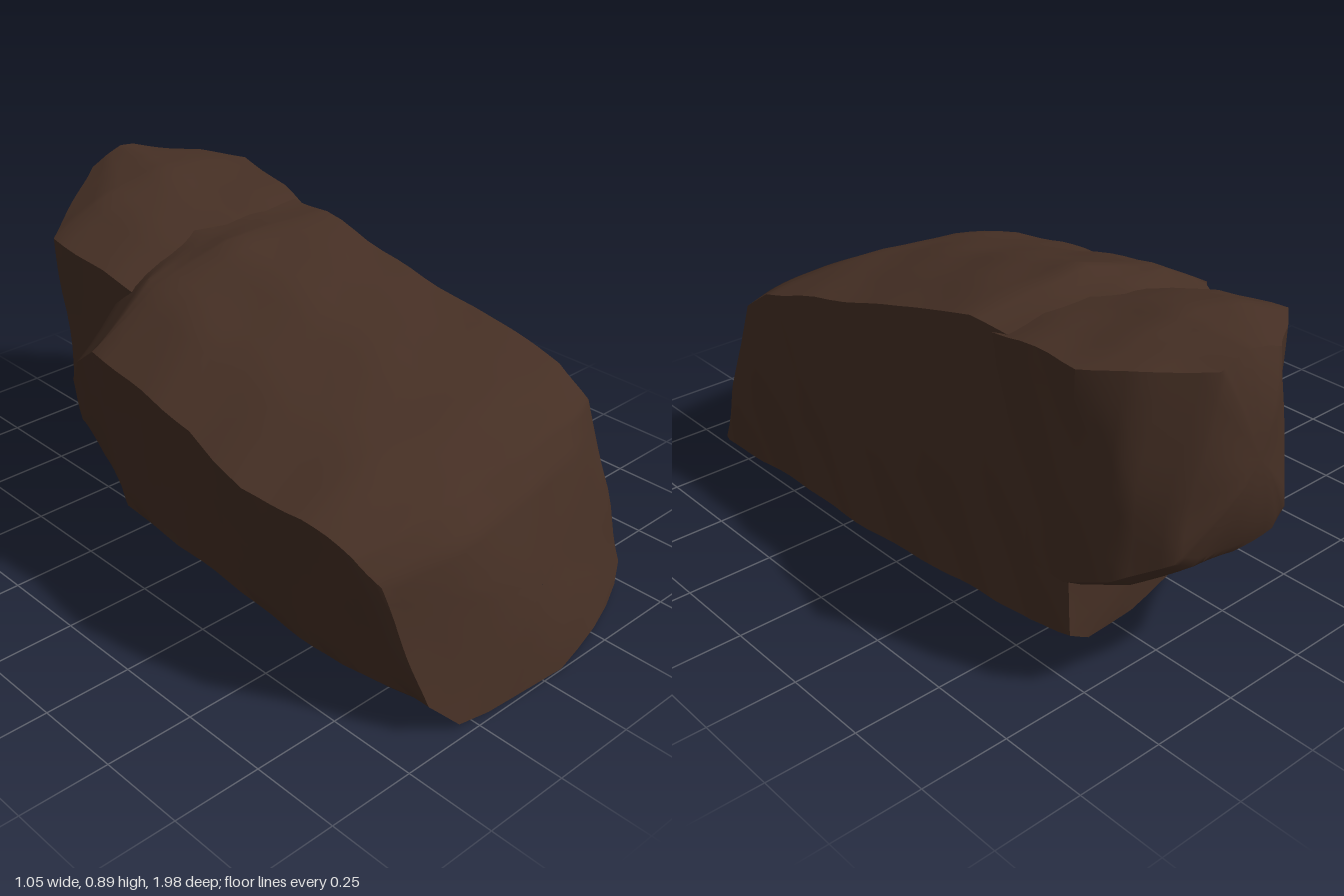
import * as THREE from 'three';
import { toCreasedNormals } from 'three/addons/utils/BufferGeometryUtils.js';

const lerp = THREE.MathUtils.lerp;

// Gentle surface unevenness, continuous in space
function roughen(p) {
  const { x, y, z } = p;
  p.x += 0.005 * Math.sin(9 * z + 5 * y) + 0.003 * Math.sin(23 * z - 17 * y);
  p.y += (0.004 * Math.sin(8 * x + 7 * z) + 0.002 * Math.sin(21 * z + 13 * x)) * Math.min(1, y * 8);
  p.z += 0.005 * Math.sin(11 * x + 9 * y) + 0.003 * Math.sin(25 * x - 14 * y);
  return p;
}

// Outline of one slice, counter-clockwise from the front, with edges subdivided
function outline([, , , , xBL, xL, xTR, xR, yb, lift, L, Q, M, R], sub = 4) {
  const across = f => lerp(xL, xTR, f);
  const corners = [
    [xBL + lift * 0.8, yb + lift * 0.15], [lerp(xBL, xR, 0.5), yb], [xR - 0.06, yb + 0.015], [xR, yb + 0.05],
    [lerp(xR, xTR, 0.3), lerp(yb, R, 0.5)], [xTR, R],
    [across(0.78), lerp(M, R, 0.45) + 0.005], [across(0.55), M], [across(0.26), Q],
    [xL, L], [lerp(xBL, xL, 0.52), lerp(yb, L, 0.55)], [xBL - 0.01, yb + lift]
  ];
  const points = [];
  corners.forEach((a, i) => {
    const b = corners[(i + 1) % corners.length];
    for (let s = 0; s < sub; s++) points.push([lerp(a[0], b[0], s / sub), lerp(a[1], b[1], s / sub)]);
  });
  return points;
}

// One ring of the loft; scale < 1 shrinks it towards its middle to close an end
function ring(row, scale = 1, bulge = 0) {
  const [zb, zt, k, x0] = row, M = row[12];
  const pts = outline(row);
  const cx = pts.reduce((s, p) => s + p[0], 0) / pts.length;
  const cy = pts.reduce((s, p) => s + p[1], 0) / pts.length;
  return pts.map(([px, py]) => {
    const x = lerp(cx, px, scale), y = lerp(cy, py, scale);
    const z = lerp(zb, zt, y / M) + k * (x - x0) ** 2 + bulge * (1 - scale * scale);
    return roughen(new THREE.Vector3(x, y, z));
  });
}

// Skin a run of slices from front to back, closed at both ends
function loftRock(rows, frontBulge, backBulge, steps = 4) {
  const capScales = [0.001, 0.25, 0.5, 0.75, 0.92];
  const rings = capScales.map(s => ring(rows[0], s, frontBulge));
  for (let i = 0; i < rows.length - 1; i++) {
    for (let s = 0; s < steps; s++) {
      rings.push(ring(rows[i].map((v, j) => lerp(v, rows[i + 1][j], s / steps))));
    }
  }
  const last = rows[rows.length - 1];
  rings.push(ring(last));
  capScales.reverse().forEach(s => rings.push(ring(last, s, backBulge)));

  const n = rings[0].length, positions = [], index = [];
  rings.forEach(r => r.forEach(p => positions.push(p.x, p.y, p.z)));
  for (let i = 0; i < rings.length - 1; i++) {
    for (let j = 0; j < n; j++) {
      const a = i * n + j, b = i * n + (j + 1) % n;
      index.push(a, a + n, b, b, a + n, b + n);
    }
  }
  const geometry = new THREE.BufferGeometry();
  geometry.setAttribute('position', new THREE.Float32BufferAttribute(positions, 3));
  geometry.setIndex(index);
  return toCreasedNormals(geometry, 0.6);
}

export function createModel() {
  const model = new THREE.Group();
  model.name = 'boulder';
  const stone = new THREE.MeshStandardMaterial({ color: 0x452f24 });
  stone.name = 'dark brown stone';

  const addPart = (name, geometry) => {
    const mesh = new THREE.Mesh(geometry, stone);
    mesh.name = name;
    model.add(mesh);
  };

  // Columns: z at bottom, z at top, end curve, curve centre, x bottom left, x top left,
  // x top right, x right, base height, left edge lift, then top heights from left to right
  addPart('mainBoulder', loftRock([
    [1.0, 0.86, -0.4, -0.08, -0.37, -0.43, 0.46, 0.51, 0.0, 0.09, 0.40, 0.44, 0.46, 0.44],
    [0.92, 0.79, -0.25, -0.08, -0.37, -0.47, 0.47, 0.52, 0.0, 0.09, 0.47, 0.51, 0.54, 0.52],
    [0.66, 0.64, -0.08, -0.08, -0.37, -0.50, 0.47, 0.52, 0.0, 0.05, 0.52, 0.58, 0.61, 0.59],
    [0.45, 0.45, 0, 0, -0.37, -0.53, 0.46, 0.52, 0.01, 0.05, 0.54, 0.61, 0.66, 0.64],
    [0.2, 0.2, 0, 0, -0.37, -0.48, 0.44, 0.52, 0.02, 0.06, 0.58, 0.67, 0.72, 0.70],
    [0, 0, 0, 0.4, -0.37, -0.48, 0.42, 0.51, 0.02, 0.07, 0.61, 0.72, 0.775, 0.75],
    [-0.23, -0.23, 0, 0.5, -0.36, -0.47, 0.41, 0.5, 0.02, 0.09, 0.63, 0.76, 0.83, 0.80],
    [-0.36, -0.34, 0.12, 0.5, -0.35, -0.46, 0.41, 0.49, 0.03, 0.12, 0.63, 0.76, 0.81, 0.80],
    [-0.55, -0.52, 0.22, 0.5, -0.32, -0.45, 0.43, 0.49, 0.05, 0.14, 0.56, 0.66, 0.80, 0.81],
    [-0.69, -0.64, 0.3, 0.5, -0.29, -0.41, 0.43, 0.48, 0.08, 0.15, 0.47, 0.56, 0.75, 0.79]
  ], 0.01, -0.02));

  // Overhanging lump at the back, set in from one corner and chamfered on the other
  addPart('rearBoulder', loftRock([
    [-0.25, -0.25, 0, 0.2, -0.2, -0.24, 0.40, 0.42, 0.2, 0.05, 0.68, 0.74, 0.78, 0.77],
    [-0.45, -0.45, 0, 0.2, -0.22, -0.26, 0.44, 0.47, 0.2, 0.05, 0.74, 0.80, 0.835, 0.82],
    [-0.68, -0.68, 0, 0.2, -0.22, -0.26, 0.48, 0.5, 0.24, 0.05, 0.77, 0.85, 0.885, 0.85],
    [-0.83, -0.80, 0, 0.2, -0.08, -0.1, 0.40, 0.48, 0.30, 0.05, 0.81, 0.86, 0.89, 0.86],
    [-0.95, -0.925, 0.1, 0.2, 0.03, 0.05, 0.27, 0.40, 0.37, 0.05, 0.85, 0.87, 0.885, 0.86]
  ], 0, -0.06));

  return model;
}
